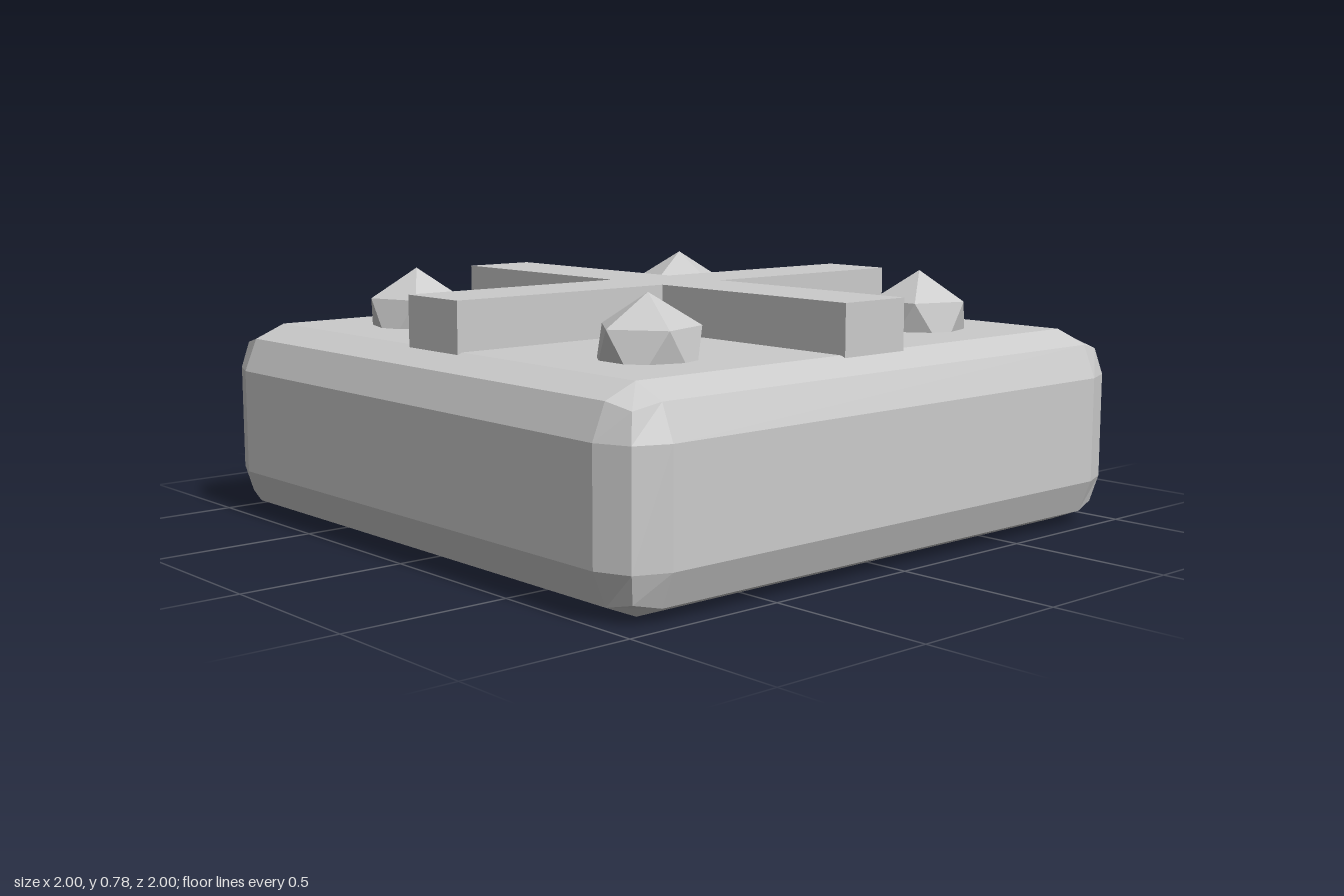
import * as THREE from 'three';
import { RoundedBoxGeometry } from 'three/addons/geometries/RoundedBoxGeometry.js';

export function createModel() {
  const model = new THREE.Group();
  model.name = 'studdedSlab';
  const material = new THREE.MeshStandardMaterial({ color: 0xcccccc, flatShading: true });

  const add = (name, geometry, x, y, z) => {
    const mesh = new THREE.Mesh(geometry, material);
    mesh.name = name;
    mesh.position.set(x, y, z);
    model.add(mesh);
    return mesh;
  };

  // Square slab with a two-step bevel on every edge
  add('slab', new RoundedBoxGeometry(2, 0.6, 2, 1, 0.14), 0, 0.31, 0);

  // Raised cross: one full bar and two half bars that meet it
  const length = 1.75, width = 0.24, height = 0.17, barY = 0.755 - height / 2;
  const arm = (length - width) / 2;
  add('crossBar', new THREE.BoxGeometry(length, height, width), 0, barY, 0);
  for (const side of [-1, 1]) {
    add(side > 0 ? 'crossArmFront' : 'crossArmBack',
      new THREE.BoxGeometry(width, height, arm), 0, barY, side * (width + arm) / 2);
  }

  // Faceted studs, one per quarter, a corner pointing straight up
  const studGeometry = new THREE.IcosahedronGeometry(0.165, 0);
  studGeometry.rotateZ(Math.atan(2 / (1 + Math.sqrt(5))));
  const studs = [
    ['studFrontLeft', 1, 1, Math.PI],
    ['studFrontRight', -1, 1, 0],
    ['studBackLeft', 1, -1, 0.3],
    ['studBackRight', -1, -1, -0.3],
  ];
  for (const [name, sx, sz, turn] of studs) {
    add(name, studGeometry, sx * 0.556, 0.625, sz * 0.556).rotation.y = turn;
  }

  return model;
}
